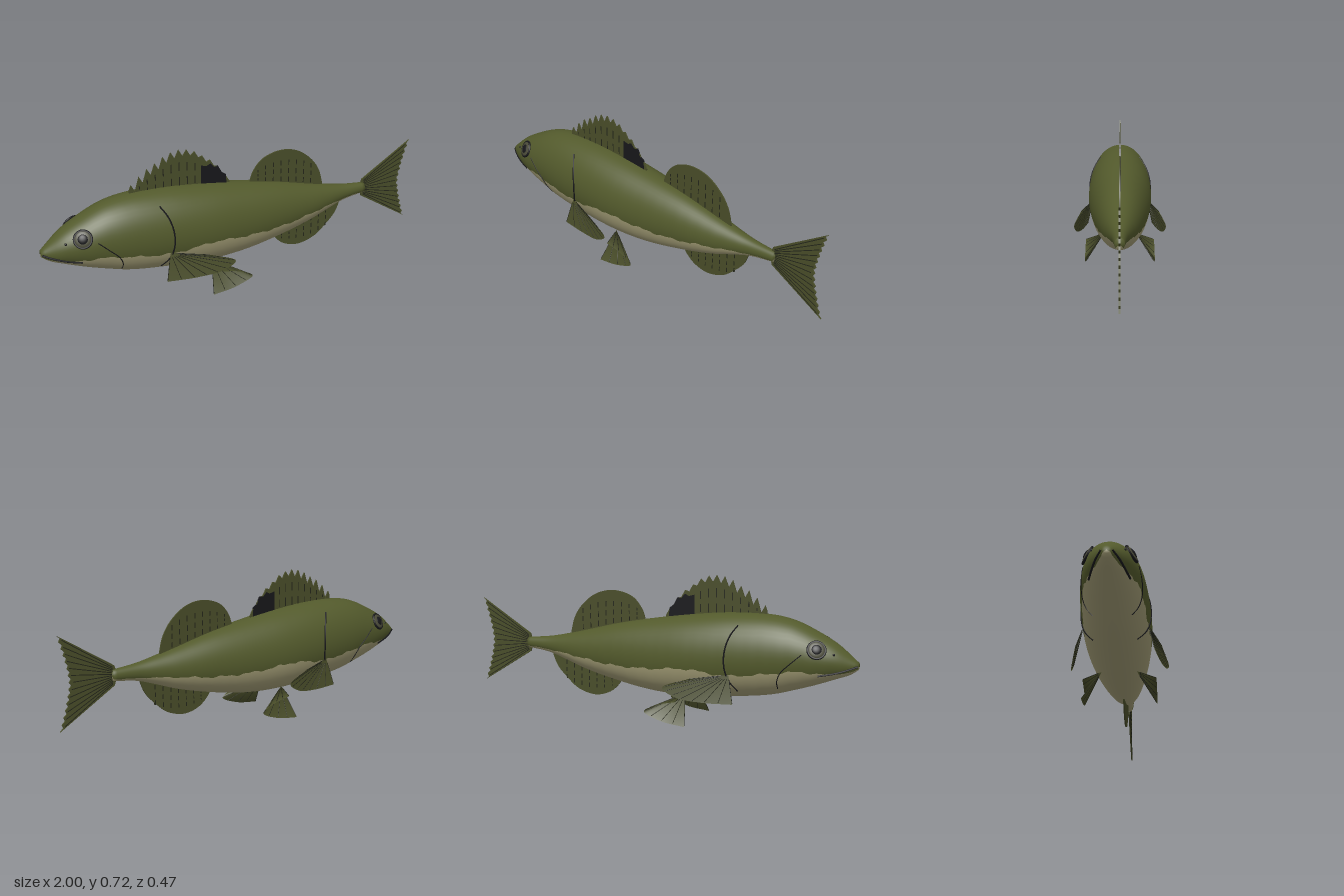
import * as THREE from 'three';

const mat = (name, color, side = THREE.FrontSide) => {
  const m = new THREE.MeshStandardMaterial({ color, side });
  m.name = name;
  return m;
};

// Body stations along x, each with: top, bottom, half width, height of the belly colour edge
const STATION_X = [-1, -0.97, -0.9, -0.8, -0.7, -0.6, -0.4, -0.2, 0, 0.2, 0.4, 0.5, 0.6, 0.73];
const STATIONS = [
  0.345, 0.312, 0.02, 0.318, 0.37, 0.29, 0.04, 0.305, 0.425, 0.262, 0.08, 0.295, 0.48, 0.225, 0.113, 0.3,
  0.523, 0.193, 0.133, 0.3, 0.543, 0.165, 0.147, 0.285, 0.546, 0.138, 0.16, 0.265, 0.527, 0.123, 0.16, 0.282,
  0.497, 0.13, 0.142, 0.265, 0.46, 0.163, 0.115, 0.262, 0.41, 0.213, 0.08, 0.282, 0.386, 0.248, 0.058, 0.292,
  0.366, 0.28, 0.037, 0.3, 0.352, 0.299, 0.022, 0.309,
];
const profile = new THREE.CubicInterpolant(STATION_X, STATIONS, 4);

function section(x) {
  const [top, bottom, w, edge] = profile.evaluate(x);
  return { c: (top + bottom) / 2, h: (top - bottom) / 2, w, edge };
}

// Point on the flank of the body at a given x and y
function onFlank(x, y, side, lift = 0) {
  const { c, h, w } = section(x);
  const k = THREE.MathUtils.clamp((y - c) / h, -1, 1);
  return new THREE.Vector3(x, y, side * (w * Math.sqrt(1 - k * k) + lift));
}

// Smooth loft whose rows follow the belly colour edge
function bodyGeometry() {
  const rings = 110, upper = 14, lower = 20, n = upper * 2 + lower;
  const pos = [], back = [], belly = [];
  for (let i = 0; i <= rings + 2; i++) {
    const x = -1 + 1.73 * THREE.MathUtils.clamp((i - 1) / rings, 0, 1);
    const { c, h, w, edge } = section(x);
    const cap = i === 0 || i === rings + 2 ? 0.02 : 1;
    const wave = 0.004 * Math.sin(x * 41) + 0.003 * Math.sin(x * 97);
    const e = Math.acos(THREE.MathUtils.clamp((edge + wave * Math.min(1, h * 8) - c) / h, -0.98, 0.98));
    for (let j = 0; j < n; j++) {
      let a;
      if (j <= upper) a = (e * j) / upper;
      else if (j <= upper + lower) a = e + ((2 * Math.PI - 2 * e) * (j - upper)) / lower;
      else a = 2 * Math.PI - (e * (n - j)) / upper;
      pos.push(x + (i > rings + 1 ? 0.006 : 0), c + cap * h * Math.cos(a), cap * w * Math.sin(a));
    }
  }
  for (let i = 0; i < rings + 2; i++) {
    for (let j = 0; j < n; j++) {
      const a = i * n + j, b = i * n + ((j + 1) % n);
      const list = j >= upper && j < upper + lower ? belly : back;
      list.push(a, b, a + n, b, b + n, a + n);
    }
  }
  const g = new THREE.BufferGeometry();
  g.setAttribute('position', new THREE.Float32BufferAttribute(pos, 3));
  g.setIndex([...back, ...belly]);
  g.addGroup(0, back.length, 0);
  g.addGroup(back.length, belly.length, 1);
  g.computeVertexNormals();
  return g;
}

export function createModel() {
  const fish = new THREE.Group();
  fish.name = 'fish';
  const olive = mat('olive back', 0x535a2c);
  const cream = mat('cream belly', 0xa39d76);
  const fin = mat('fin olive', 0x494d29, THREE.DoubleSide);
  const ray = mat('fin ray dark', 0x24261a);
  const black = mat('black', 0x17171a);
  const iris = mat('iris grey olive', 0x4a4a38);

  const add = (name, geo, material, parent = fish) => {
    const m = new THREE.Mesh(geo, material);
    m.name = name;
    parent.add(m);
    return m;
  };
  const tube = (name, pts, r, material, parent) =>
    add(name, new THREE.TubeGeometry(new THREE.CatmullRomCurve3(pts), Math.max(2, pts.length * 4), r, 5), material, parent);

  // Flat upright fin centred on z = 0
  const plate = (name, pts, depth, material, smooth) => {
    const v = pts.map(([x, y]) => new THREE.Vector2(x, y));
    const shape = new THREE.Shape();
    shape.moveTo(v[0].x, v[0].y);
    if (smooth) shape.splineThru(v.slice(1));
    else v.slice(1).forEach((p) => shape.lineTo(p.x, p.y));
    const g = new THREE.ExtrudeGeometry(shape, { depth, bevelEnabled: false, curveSegments: 40 });
    return add(name, g.translate(0, 0, -depth / 2), material);
  };
  // Thin dark bar showing on both faces of an upright fin
  const bar = (x0, y0, x1, y1, width = 0.005) => {
    const g = new THREE.BoxGeometry(Math.hypot(x1 - x0, y1 - y0), width, 0.0085);
    g.rotateZ(Math.atan2(y1 - y0, x1 - x0)).translate((x0 + x1) / 2, (y0 + y1) / 2, 0);
    add('finRay', g, ray);
  };
  const dashes = (x, y0, y1, count) => {
    const step = (y1 - y0) / count;
    for (let k = 0; k < count; k++) bar(x, y0 + step * (k + 0.1), x, y0 + step * (k + 0.7));
  };

  add('body', bodyGeometry(), [olive, cream]);

  // Spiny first dorsal fin: zigzag of spine tips and notches
  const tips = [0.585, 0.62, 0.652, 0.672, 0.698, 0.714, 0.72, 0.714, 0.698, 0.668, 0.64, 0.6, 0.545];
  const spiny = [[-0.56, 0.5], [-0.56, 0.56]];
  tips.forEach((y, i) => {
    const x = -0.55 + i * 0.0405;
    spiny.push([x, y], [x + 0.02, y - 0.035]);
  });
  spiny.push([-0.06, 0.46]);
  plate('spinyDorsalFin', spiny, 0.007, fin);
  for (let i = 1; i < 9; i++) dashes(-0.55 + i * 0.0405, 0.53, tips[i] - 0.04, 2);
  plate('dorsalFinBlackPatch', [[-0.195, 0.5], [-0.195, 0.62], [-0.165, 0.612], [-0.145, 0.622], [-0.125, 0.6],
    [-0.105, 0.602], [-0.085, 0.565], [-0.064, 0.55], [-0.06, 0.49]], 0.009, black);

  // Soft second dorsal fin and anal fin
  plate('softDorsalFin', [[0.06, 0.46], [0.085, 0.535], [0.14, 0.595], [0.235, 0.621], [0.33, 0.603], [0.41, 0.545],
    [0.46, 0.47], [0.485, 0.37]], 0.007, fin, true);
  for (let i = 0; i < 8; i++) {
    const x = 0.11 + i * 0.043, u = (x - 0.25) / 0.25;
    dashes(x, 0.48 - i * 0.01, 0.38 + 0.2 * Math.sqrt(1 - u * u), 3);
  }
  plate('analFin', [[0.18, 0.2], [0.215, 0.14], [0.27, 0.096], [0.35, 0.078], [0.44, 0.102], [0.51, 0.158],
    [0.565, 0.22], [0.6, 0.31]], 0.007, fin, true);
  for (let i = 0; i < 7; i++) {
    const x = 0.25 + i * 0.043, u = (x - 0.36) / 0.26;
    dashes(x, 0.31 - 0.2 * Math.sqrt(1 - u * u), 0.18 + i * 0.013, 3);
  }

  // Forked tail with a serrated edge
  const tail = [[0.715, 0.295], [0.72, 0.278]];
  const teeth = 28;
  for (let i = 0; i <= teeth; i++) {
    const t = (i / teeth) * 2 - 1;
    tail.push([0.947 + 0.053 * Math.pow(Math.abs(t), 1.4) - (i % 2) * 0.012, 0.325 + 0.22 * t]);
  }
  tail.push([0.72, 0.372], [0.715, 0.355]);
  plate('tailFin', tail, 0.007, fin);
  for (let i = 0; i <= 12; i++) {
    const t = ((i / 12) * 2 - 1) * 0.94;
    bar(0.73, 0.325 + 0.042 * t, 0.93 + 0.05 * Math.abs(t), 0.325 + 0.21 * t, 0.004);
  }

  // Fan-shaped paired fin spreading from a root point to a curved rim
  const fan = (name, root, rim, rays, side) => {
    const group = new THREE.Group();
    group.name = name;
    fish.add(group);
    const r = new THREE.Vector3(root[0], root[1], root[2] * side);
    const pts = new THREE.CatmullRomCurve3(rim.map(([x, y, z]) => new THREE.Vector3(x, y, z * side))).getPoints(rays * 4);
    const g = new THREE.BufferGeometry().setFromPoints([r, ...pts]);
    const index = [];
    for (let i = 1; i < pts.length; i++) index.push(0, i, i + 1);
    g.setIndex(index);
    g.computeVertexNormals();
    add('finWeb', g, fin, group);
    for (let i = 0; i <= rays; i++) {
      const start = r.clone().lerp(pts[i * 4], 0.15);
      tube('finRay', [start, pts[i * 4].clone().lerp(r, 0.03)], 0.0016, ray, group);
    }
  };

  for (const side of [1, -1]) {
    const label = side > 0 ? 'front' : 'back';
    fan(label + 'PectoralFin', [-0.42, 0.27, 0.147],
      [[-0.45, 0.135, 0.175], [-0.3, 0.137, 0.2], [-0.18, 0.157, 0.224], [-0.12, 0.2, 0.234], [-0.24, 0.246, 0.205]], 9, side);
    fan(label + 'PelvicFin', [-0.18, 0.148, 0.083],
      [[-0.21, 0.003, 0.175], [-0.09, 0.02, 0.175], [0, 0.06, 0.175], [-0.08, 0.102, 0.175], [-0.16, 0.12, 0.175]], 8, side);

    // Gill cover edge, cheek line and mouth drawn along the skin
    const line = (name, pts, r) =>
      tube(name, pts.map(([x, y]) => onFlank(x, y, side, 0.001)), r, black);
    line('gillEdge', [[-0.45, 0.5], [-0.42, 0.45], [-0.402, 0.38], [-0.402, 0.3], [-0.418, 0.24], [-0.45, 0.185]], 0.004);
    line('cheekLine', [[-0.76, 0.385], [-0.71, 0.34], [-0.665, 0.295], [-0.645, 0.25], [-0.642, 0.21]], 0.0025);
    line('mouth', [[-0.998, 0.329], [-0.95, 0.312], [-0.9, 0.298], [-0.83, 0.285]], 0.005);

    // Eye facing along the skin normal
    const eye = new THREE.Group();
    eye.name = label + 'Eye';
    const p = onFlank(-0.823, 0.407, side);
    const du = onFlank(-0.803, 0.407, side).sub(onFlank(-0.843, 0.407, side));
    const dv = onFlank(-0.823, 0.427, side).sub(onFlank(-0.823, 0.387, side));
    eye.position.copy(p);
    eye.lookAt(p.clone().add(du.cross(dv).multiplyScalar(side)));
    fish.add(eye);
    const dome = (name, r, depth, z, material) =>
      add(name, new THREE.SphereGeometry(r, 28, 14).scale(1, 1, depth / r), material, eye).position.set(0, 0, z);
    add('eyeRim', new THREE.TorusGeometry(0.04, 0.006, 8, 32), black, eye);
    dome('iris', 0.04, 0.011, 0.001, iris);
    dome('pupil', 0.025, 0.01, 0.006, black);

    const nostril = add('nostril', new THREE.SphereGeometry(0.006, 10, 8), black);
    nostril.position.copy(onFlank(-0.898, 0.386, side));
  }
  return fish;
}
